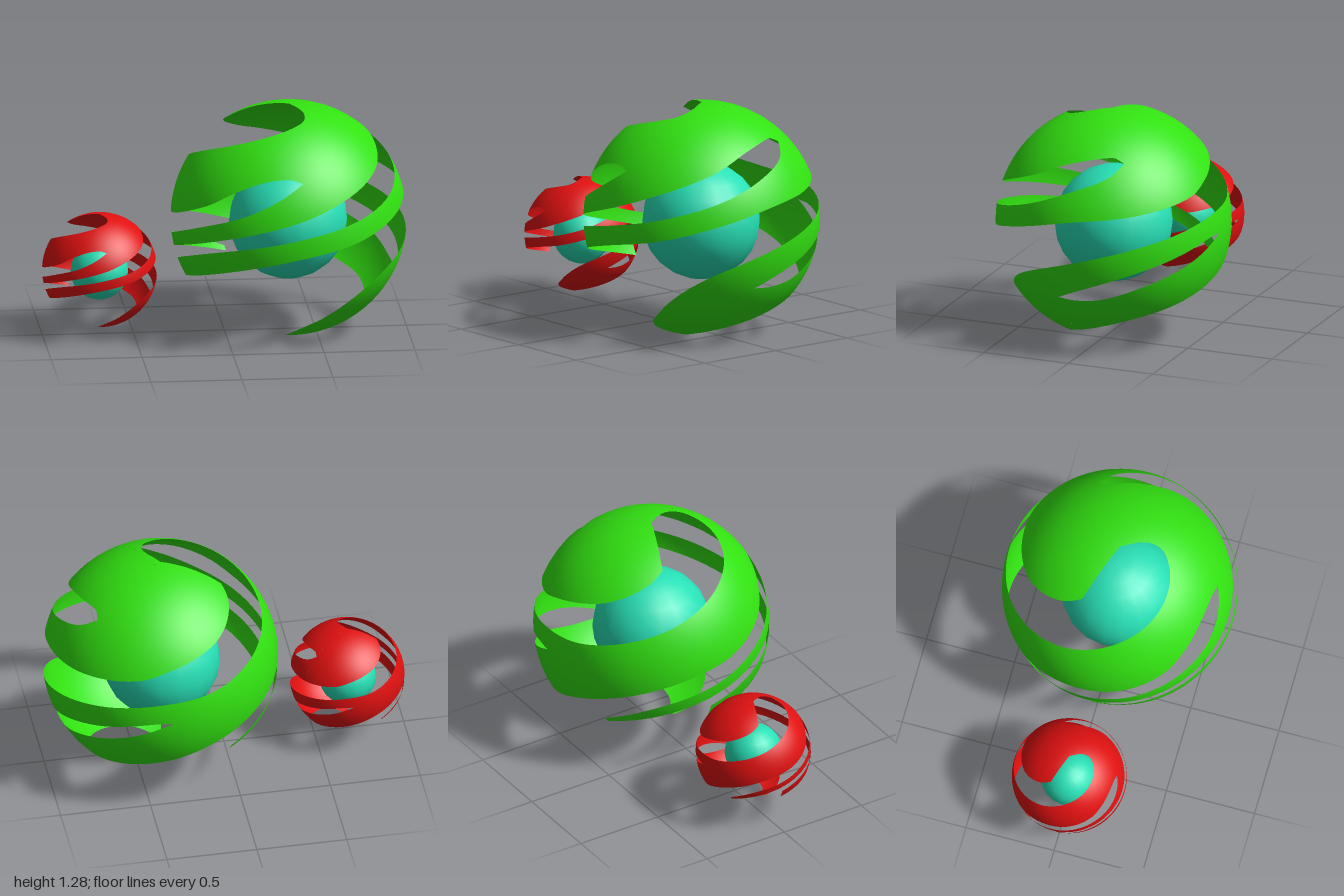
import * as THREE from 'three';

const green = new THREE.MeshStandardMaterial({ color: 0x32e211, side: THREE.DoubleSide });
green.name = 'green';
const red = new THREE.MeshStandardMaterial({ color: 0xe01010, side: THREE.DoubleSide });
red.name = 'red';
const teal = new THREE.MeshStandardMaterial({ color: 0x27e0b6 });
teal.name = 'teal';

// Ribbon edges on a unit sphere: [longitude in degrees (0 = front, 90 = +x), height].
// Longitudes are unwrapped, so an edge may spiral around more than once.
const spiralTop = [[-12, -0.95], [4, -0.83], [20, -0.7], [32, -0.56], [45, -0.41], [61, -0.27], [90, -0.1],
  [120, 0.04], [150, 0.15], [170, 0.21], [197, 0.26], [223, 0.36], [249, 0.48], [270, 0.59], [291, 0.69],
  [330, 0.83], [360, 0.905], [375, 0.935], [385, 0.965], [390, 0.985]];
const spiralBottom = [[-12, -0.98], [10, -0.975], [30, -0.945], [60, -0.88], [90, -0.79], [125, -0.645], [150, -0.55],
  [177, -0.42], [200, -0.28], [228, -0.12], [255, 0.02], [282, 0.125], [309, 0.29], [323, 0.42], [340, 0.53],
  [355, 0.56], [363, 0.53]];
const capBottom = [[-90, -0.48], [-60, -0.36], [-29, -0.22], [0, -0.1], [30, 0], [61, 0.14], [90, 0.26], [125, 0.33],
  [159, 0.41], [173, 0.48], [192, 0.56], [209, 0.63], [235, 0.77], [248, 0.85]];
const upperSlitTop = [[-148, -0.49], [-120, -0.36], [-90, -0.22], [-45, 0], [0, 0.22], [19, 0.33], [57, 0.55],
  [83, 0.7], [112, 0.76], [120, 0.72]];
const upperSlitBottom = [[-90, -0.33], [-45, -0.1], [0, 0.07], [30, 0.18], [61, 0.33], [90, 0.51], [109, 0.62], [120, 0.72]];
const innerBandTop = [[-148, -0.45], [-120, -0.25], [-85, -0.08], [-49, 0.125], [-28, 0.25], [-10, 0.4], [3, 0.53]];
const lowerSlitTop = [[81, -0.44], [95, -0.34], [118, -0.2], [142, -0.08], [165, 0.02], [176, 0.03]];
const lowerSlitBottom = [[81, -0.44], [92, -0.45], [107, -0.42], [125, -0.32], [143, -0.215], [160, -0.1], [176, 0.03]];
const pole = [[-90, 1], [390, 1]];

// Smooth interpolation of an edge's latitude
function latitude(edge, a) {
  let i = 0;
  while (i < edge.length - 2 && a > edge[i + 1][0]) i++;
  const lat = k => Math.asin(edge[k][1]);
  const slope = k => {
    const p = Math.max(k - 1, 0), q = Math.min(k + 1, edge.length - 1);
    return (lat(q) - lat(p)) / (edge[q][0] - edge[p][0]);
  };
  const h = edge[i + 1][0] - edge[i][0];
  const t = THREE.MathUtils.clamp((a - edge[i][0]) / h, 0, 1), t2 = t * t, t3 = t2 * t;
  return (2 * t3 - 3 * t2 + 1) * lat(i) + (t3 - 2 * t2 + t) * h * slope(i)
    + (3 * t2 - 2 * t3) * lat(i + 1) + (t3 - t2) * h * slope(i + 1);
}

// Patch of sphere between two edges; topTurn shifts the top edge by whole turns
function ribbon(from, to, bottom, top, topTurn = 0) {
  const cols = Math.ceil((to - from) / 3), rows = 12, pos = [], idx = [];
  for (let i = 0; i <= cols; i++) {
    const a = from + (to - from) * i / cols, theta = THREE.MathUtils.degToRad(a);
    const lo = latitude(bottom, a), hi = Math.max(lo, latitude(top, a + topTurn));
    for (let j = 0; j <= rows; j++) {
      const lat = lo + (hi - lo) * j / rows;
      pos.push(Math.cos(lat) * Math.sin(theta), Math.sin(lat), Math.cos(lat) * Math.cos(theta));
      if (i < cols && j < rows) {
        const p = i * (rows + 1) + j, q = p + rows + 1;
        idx.push(p, q, q + 1, p, q + 1, p + 1);
      }
    }
  }
  const g = new THREE.BufferGeometry();
  g.setAttribute('position', new THREE.Float32BufferAttribute(pos, 3));
  g.setAttribute('normal', new THREE.Float32BufferAttribute(pos, 3));
  g.setIndex(idx);
  return g;
}

const parts = [
  ['capFront', ribbon(30, 120, upperSlitTop, pole)],
  ['capBack', ribbon(120, 248, capBottom, pole)],
  ['capNose', ribbon(3, 30, upperSlitTop, spiralTop, 360)],
  ['innerBand', ribbon(-148, 3, upperSlitTop, innerBandTop)],
  ['outerBand', ribbon(-90, 120, capBottom, upperSlitBottom)],
  ['lowerBlade', ribbon(-12, 81, spiralBottom, spiralTop)],
  ['bandBelowSlit', ribbon(81, 176, spiralBottom, lowerSlitBottom)],
  ['bandAboveSlit', ribbon(81, 176, lowerSlitTop, spiralTop)],
  ['wideSpiralBand', ribbon(176, 363, spiralBottom, spiralTop)],
];
const coreGeometry = new THREE.SphereGeometry(0.503, 18, 12);

// Swirled shell around a plain core ball
function swirlBall(name, radius, x, y, material) {
  const ball = new THREE.Group();
  ball.name = name;
  for (const [part, geometry] of parts) {
    const mesh = new THREE.Mesh(geometry, material);
    mesh.name = part;
    ball.add(mesh);
  }
  const core = new THREE.Mesh(coreGeometry, teal);
  core.name = 'core';
  core.position.set(-0.005, -0.02, 0);
  ball.add(core);
  ball.scale.setScalar(radius);
  ball.position.set(x, y, 0);
  return ball;
}

export function createModel() {
  const model = new THREE.Group();
  model.name = 'swirlBalls';
  model.add(swirlBall('largeBall', 0.646, 0.354, 0.648, green));
  model.add(swirlBall('smallBall', 0.315, -0.685, 0.378, red));
  return model;
}
